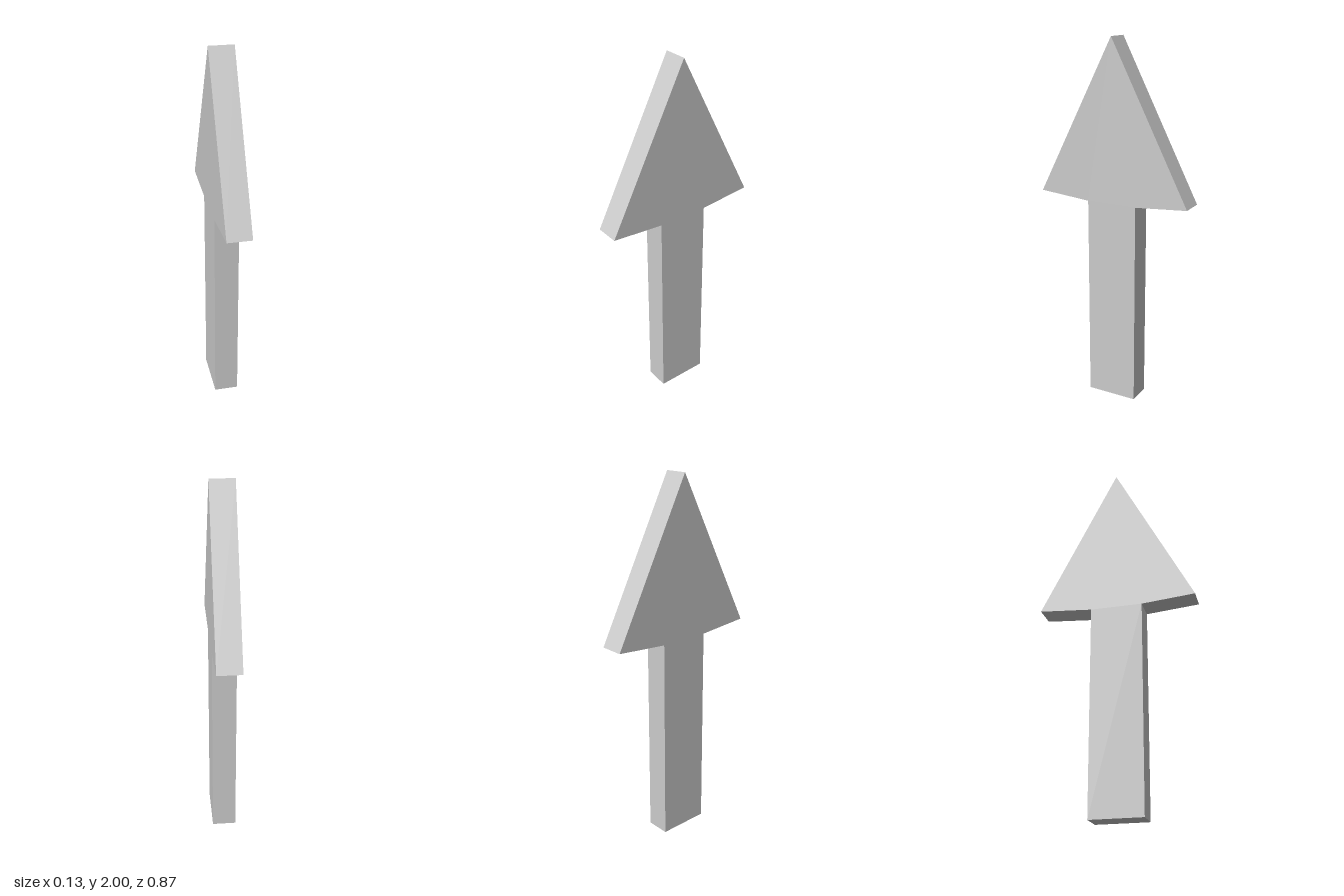
import * as THREE from 'three';

export function createModel() {
  const thickness = 0.132;

  // Half outline of the arrow, from the foot up the shaft to the barb
  const half = [[0.142, 0], [0.142, 1.136], [0.434, 1.16]];
  const mirrored = half.map(([x, y]) => [-x, y]).reverse();
  const outline = [...half, [0, 2], ...mirrored].map(([x, y]) => new THREE.Vector2(x, y));

  // Flat plate, turned so its broad sides face left and right
  const geometry = new THREE.ExtrudeGeometry(new THREE.Shape(outline), {
    depth: thickness,
    bevelEnabled: false,
  });
  geometry.translate(0, 0, -thickness / 2);
  geometry.rotateY(Math.PI / 2);

  const arrow = new THREE.Mesh(
    geometry,
    new THREE.MeshStandardMaterial({ color: 0xcccccc, flatShading: true })
  );
  arrow.name = 'arrow';

  const group = new THREE.Group();
  group.name = 'upwardArrow';
  group.add(arrow);
  return group;
}
